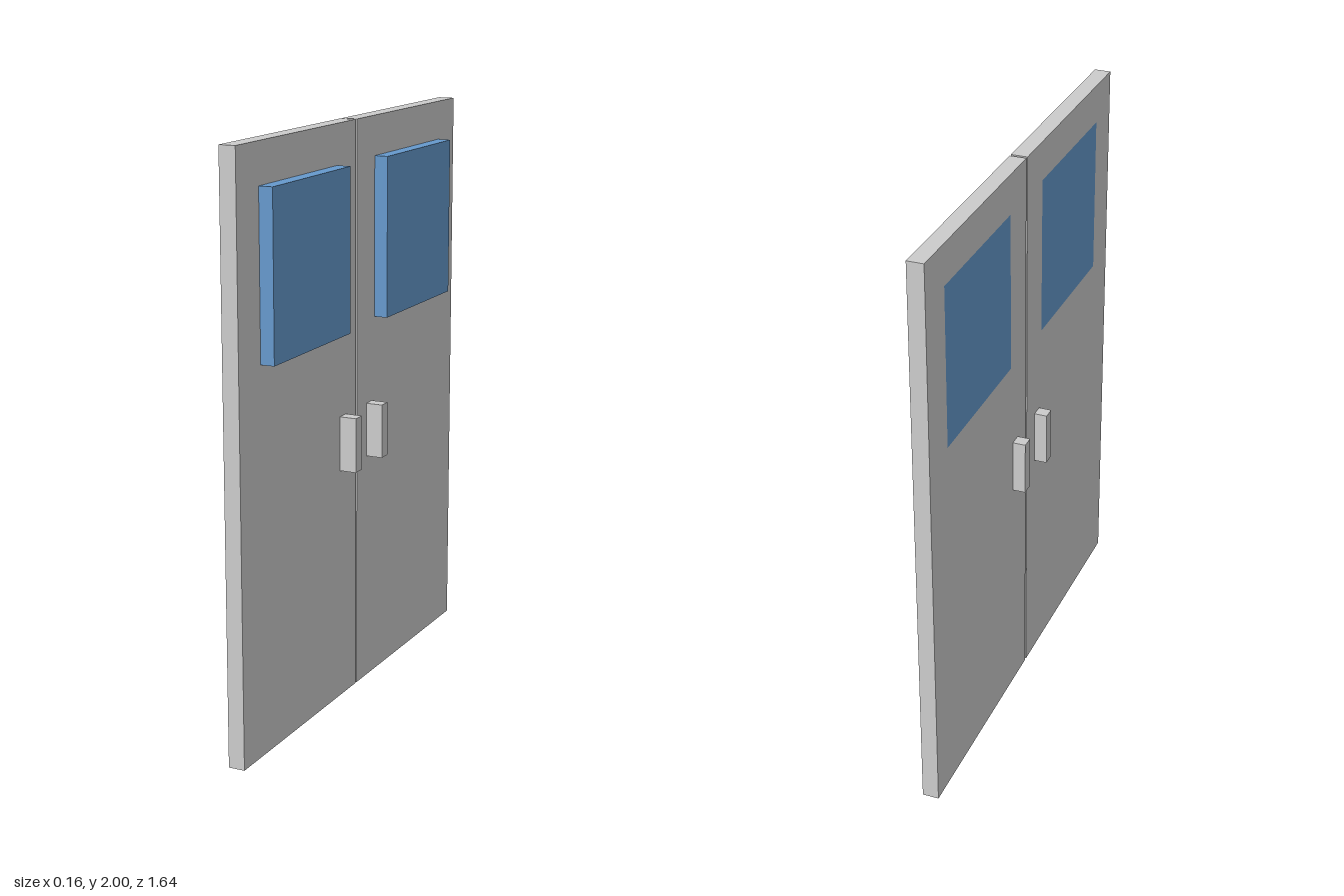
import * as THREE from 'three';

const grey = new THREE.MeshStandardMaterial({ color: 0xcccccc });
const blue = new THREE.MeshStandardMaterial({ color: 0x6699cc });

// Box given by its lower and upper corners
function box(name, material, [x0, y0, z0], [x1, y1, z1]) {
  const mesh = new THREE.Mesh(new THREE.BoxGeometry(x1 - x0, y1 - y0, z1 - z0), material);
  mesh.position.set((x0 + x1) / 2, (y0 + y1) / 2, (z0 + z1) / 2);
  mesh.name = name;
  return mesh;
}

function rectangle(path, a0, b0, a1, b1) {
  path.moveTo(a0, b0);
  path.lineTo(a1, b0);
  path.lineTo(a1, b1);
  path.lineTo(a0, b1);
  path.closePath();
  return path;
}

const BACK = -0.036, FACE = 0.021; // door leaf thickness along x
const PANE = { inner: 0.143, outer: 0.678, bottom: 1.306, top: 1.863 };

function createDoor(side) {
  const door = new THREE.Group();
  door.name = side > 0 ? 'frontDoor' : 'rearDoor';
  const span = (a, b) => (side > 0 ? [a, b] : [-b, -a]);

  // Leaf with a window opening, drawn in (-z, y) and turned to face +x
  const [l0, l1] = span(0.005, 0.818);
  const [p0, p1] = span(PANE.inner, PANE.outer);
  const outline = rectangle(new THREE.Shape(), -l1, 0, -l0, 2);
  outline.holes.push(rectangle(new THREE.Path(), -p1, PANE.bottom, -p0, PANE.top));
  const leafGeometry = new THREE.ExtrudeGeometry(outline, { depth: FACE - BACK, bevelEnabled: false });
  leafGeometry.rotateY(Math.PI / 2).translate(BACK, 0, 0);
  const leaf = new THREE.Mesh(leafGeometry, grey);
  leaf.name = 'leaf';
  door.add(leaf);

  // Window pane: flush at the back, proud of the face
  door.add(box('windowPane', blue, [BACK, PANE.bottom, p0], [0.069, PANE.top, p1]));

  // Handles on both faces
  const [h0, h1] = span(0.081, 0.126);
  door.add(box('faceHandle', grey, [FACE, 0.82, h0], [0.081, 1.01, h1]));
  door.add(box('backHandle', grey, [-0.081, 0.82, h0], [BACK, 1.01, h1]));
  return door;
}

export function createModel() {
  const model = new THREE.Group();
  model.name = 'doubleDoor';
  for (const side of [1, -1]) model.add(createDoor(side));
  return model;
}
